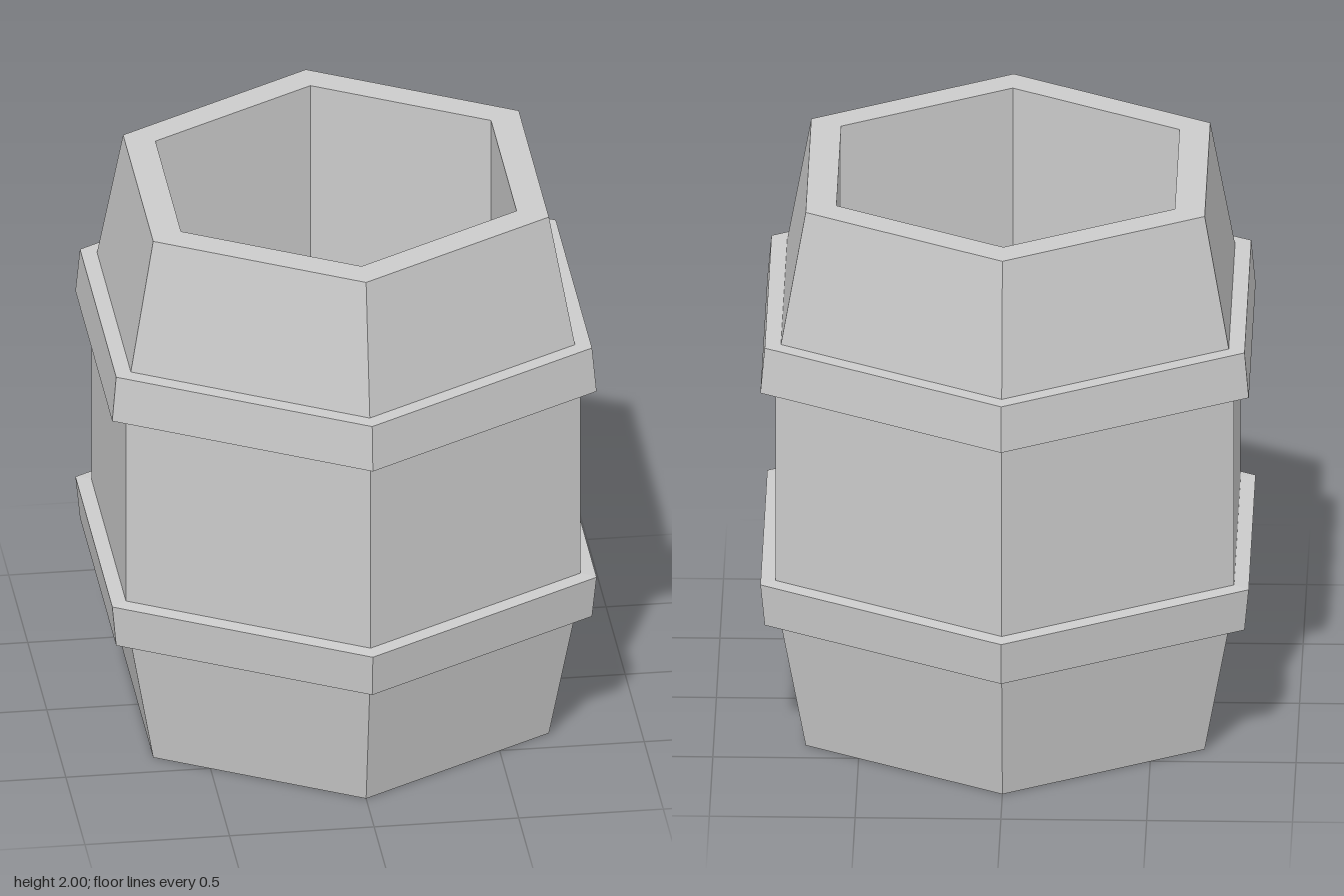
import * as THREE from 'three';

const material = new THREE.MeshStandardMaterial({ color: 0xcccccc, flatShading: true });

// Six-sided turned part from [radius, height] pairs, with a corner facing the front
function hexLathe(name, profile) {
  const points = profile.map(([r, y]) => new THREE.Vector2(r, y));
  const mesh = new THREE.Mesh(new THREE.LatheGeometry(points, 6), material);
  mesh.name = name;
  return mesh;
}

export function createModel() {
  const barrel = new THREE.Group();
  barrel.name = 'barrel';

  // Staves: underside, bulging outer wall, flat rim, straight inner wall and floor
  barrel.add(hexLathe('body', [
    [0, 0], [0.79, 0], [0.908, 0.58], [0.908, 1.42], [0.79, 2],
    [0.67, 2], [0.67, 0.12], [0, 0.12],
  ]));

  // Hoops, flaring towards the middle of the barrel
  barrel.add(hexLathe('lowerHoop', [
    [0.88, 0.485], [0.95, 0.485], [0.967, 0.64], [0.9, 0.645],
  ]));
  barrel.add(hexLathe('upperHoop', [
    [0.9, 1.355], [0.967, 1.36], [0.95, 1.525], [0.88, 1.525],
  ]));

  return barrel;
}
